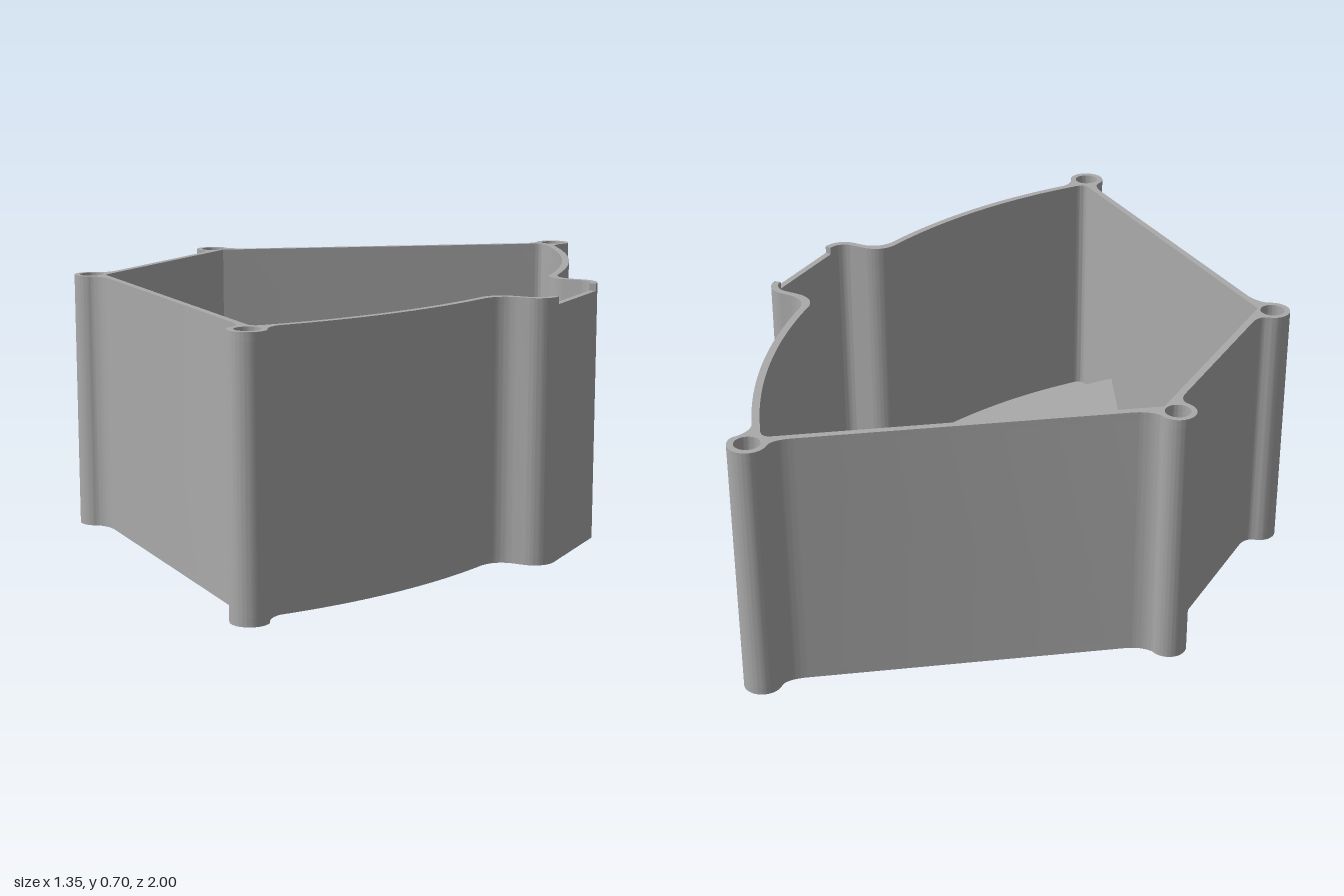
import * as THREE from 'three';
import { toCreasedNormals } from 'three/addons/utils/BufferGeometryUtils.js';

const HEIGHT = 0.705, FLOOR = 0.02, NOTCH_Y = 0.685, RAISED = 0.12;
const AXIS_X = -0.97; // centre of the curved outer wall
const POSTS = [[0.225, 0.95], [-0.632, 0.325]];
const HOLE_R = 0.033, HOLE_DEPTH = 0.1;

// Half of the outside outline, from the notch edge round to the inner wall
function outerHalf() {
  const p = new THREE.Path();
  p.moveTo(0.675, 0.105);
  p.absarc(0.615, 0.135, 0.06, 0, Math.PI / 2);
  p.lineTo(0.59, 0.195);
  p.quadraticCurveTo(0.535, 0.195, 0.519, 0.25);
  p.absarc(AXIS_X, 0, 1.51, 0.1663, 0.614);
  p.quadraticCurveTo(0.25, 0.905, 0.274, 0.942);
  p.absarc(...POSTS[0], 0.05, -0.15, Math.PI + 0.2);
  p.quadraticCurveTo(0.185, 0.91, 0.13, 0.872);
  p.lineTo(-0.54, 0.38);
  p.quadraticCurveTo(-0.575, 0.358, -0.606, 0.365);
  p.absarc(...POSTS[1], 0.048, 1.0, 4.5);
  p.quadraticCurveTo(-0.612, 0.272, -0.612, 0.23);
  return p.getPoints(16);
}

// Half of the inside outline
function innerHalf() {
  const p = new THREE.Path();
  p.moveTo(0.657, 0.105);
  p.absarc(0.612, 0.132, 0.045, 0, Math.PI / 2);
  p.lineTo(0.57, 0.177);
  p.quadraticCurveTo(0.518, 0.18, 0.502, 0.23);
  p.absarc(AXIS_X, 0, 1.49, 0.155, 0.6277);
  p.quadraticCurveTo(0.215, 0.912, 0.19, 0.893);
  p.lineTo(-0.592, 0.318);
  return p.getPoints(16);
}

// Drop repeated points and mirror the half to a full outline
function mirrored(half) {
  const pts = half.filter((p, i) => i === 0 || p.distanceTo(half[i - 1]) > 1e-3);
  return [...pts, ...pts.map((p) => new THREE.Vector2(p.x, -p.y)).reverse()];
}

function addPostHoles(shape) {
  for (const [x, z] of POSTS) for (const s of [1, -1]) {
    shape.holes.push(new THREE.Path().absarc(x, s * z, HOLE_R, 0, Math.PI * 2, true));
  }
  return shape;
}

// Extrude a plan shape upward from y0 to y1
function slab(shape, y0, y1) {
  const g = new THREE.ExtrudeGeometry(shape, { depth: y1 - y0, bevelEnabled: false, curveSegments: 20 });
  g.rotateX(-Math.PI / 2);
  g.translate(0, y0, 0);
  return toCreasedNormals(g, 0.5);
}

export function createModel() {
  const group = new THREE.Group();
  group.name = 'sectorBin';
  const grey = new THREE.MeshStandardMaterial({ color: 0xaaaaaa });
  grey.name = 'grey plastic';
  const add = (name, geometry) => {
    const mesh = new THREE.Mesh(geometry, grey);
    mesh.name = name;
    group.add(mesh);
    return mesh;
  };

  const outer = mirrored(outerHalf());
  const inner = mirrored(innerHalf());

  // Base plate
  add('basePlate', slab(new THREE.Shape(outer), 0, FLOOR));

  // Walls with the four corner posts
  const walls = addPostHoles(new THREE.Shape(outer));
  walls.holes.push(new THREE.Path(inner));
  add('walls', slab(walls, FLOOR, NOTCH_Y));

  // Rim, left open at the finger notch on the outer bump
  const rim = addPostHoles(new THREE.Shape([...outer, ...inner.slice().reverse()]));
  add('rim', slab(rim, NOTCH_Y, HEIGHT));

  // Raised inner floor ending in an arc
  const raised = new THREE.Shape();
  raised.moveTo(-0.595, -0.32);
  raised.absarc(AXIS_X, 0, 1.29, -0.659, 0.659);
  raised.lineTo(-0.595, 0.32);
  add('raisedFloor', slab(raised, FLOOR, RAISED));

  // Bottoms of the blind holes in the posts
  const plugTop = HEIGHT - HOLE_DEPTH;
  for (const [x, z] of POSTS) for (const s of [1, -1]) {
    const plug = add('postCore', new THREE.CylinderGeometry(HOLE_R, HOLE_R, plugTop - FLOOR, 40));
    plug.position.set(x, (plugTop + FLOOR) / 2, s * z);
  }
  return group;
}
